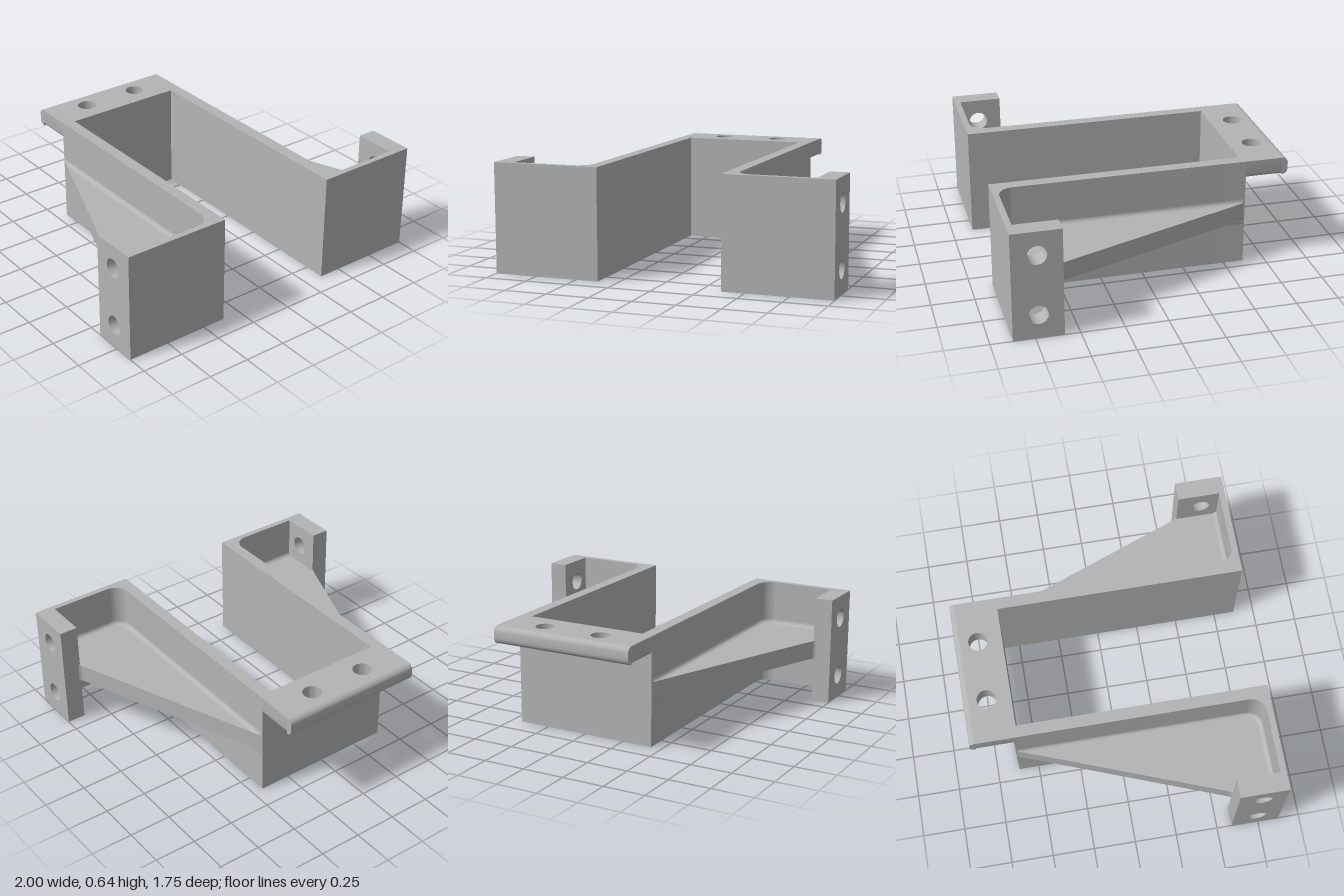
import * as THREE from 'three';
import { toCreasedNormals } from 'three/addons/utils/BufferGeometryUtils.js';

const H = 0.645;                       // overall height
const WALL = 0.435, INNER = 0.365;     // side wall faces
const BACK = -0.62, FRONT = 0.875, FLANGE = 0.84;
const R = 0.09;                        // corner radius between wall and flange

function circleHole(shape, x, y, r) {
  const path = new THREE.Path();
  path.absarc(x, y, r, 0, Math.PI * 2, true);
  shape.holes.push(path);
}

function polygon(points) {
  return new THREE.Shape(points.map(([x, y]) => new THREE.Vector2(x, y)));
}

function extrude(shape, depth) {
  return new THREE.ExtrudeGeometry(shape, { depth, bevelEnabled: false, curveSegments: 16 });
}

// Plan outline (x, z) raised between two heights
function extrudeY(shape, y0, y1) {
  return toCreasedNormals(extrude(shape, y1 - y0).rotateX(Math.PI / 2).translate(0, y1, 0), 0.5);
}

// Side outline (z, y) extended between two x positions
function extrudeX(shape, x0, x1) {
  return toCreasedNormals(extrude(shape, x1 - x0).rotateY(-Math.PI / 2).translate(x1, 0, 0), 0.5);
}

// Concave fillet strip where the web meets the wall and flange; dir is +1 above, -1 below
function filletGeometry(y, dir, r) {
  const path = [[WALL, BACK + 0.005, 1, 0]];
  for (let i = 0; i <= 10; i++) {
    const a = (i / 10) * Math.PI / 2;
    path.push([WALL + R - R * Math.cos(a), FLANGE - R + R * Math.sin(a), Math.cos(a), -Math.sin(a)]);
  }
  path.push([0.89, FLANGE, 0, -1]);
  const steps = 6, pos = [], index = [];
  path.forEach(([x, z, nx, nz], k) => {
    for (let j = 0; j <= steps; j++) {
      const a = (j / steps) * Math.PI / 2;
      const d = r * (1 - Math.cos(a)), h = r * (1 - Math.sin(a));
      const trim = k === 0 ? d * 2.6 : 0;   // follow the slanted edge of the web
      pos.push(x + nx * d, y + dir * h, z + nz * d + trim);
    }
  });
  const n = steps + 1;
  for (let k = 0; k < path.length - 1; k++) {
    for (let j = 0; j < steps; j++) {
      const a = k * n + j, b = a + 1, c = a + n, d = c + 1;
      if (dir > 0) index.push(a, c, b, b, c, d);
      else index.push(a, b, c, b, d, c);
    }
  }
  const g = new THREE.BufferGeometry();
  g.setAttribute('position', new THREE.Float32BufferAttribute(pos, 3));
  g.setIndex(index);
  g.computeVertexNormals();
  return g;
}

export function createModel() {
  const model = new THREE.Group();
  model.name = 'mountingBracket';
  const gray = new THREE.MeshStandardMaterial({ color: 0xb4b4b4 });
  gray.name = 'gray';
  const grayOpen = new THREE.MeshStandardMaterial({ color: 0xb4b4b4, side: THREE.DoubleSide });
  grayOpen.name = 'gray';

  const add = (parent, name, geometry, material = gray) => {
    const mesh = new THREE.Mesh(geometry, material);
    mesh.name = name;
    parent.add(mesh);
  };

  // One arm: side wall, front flange, drilled tab and stiffening web
  function createArm() {
    const arm = new THREE.Group();
    const wall = new THREE.Shape();
    wall.moveTo(INNER, BACK);
    wall.lineTo(WALL, BACK);
    wall.lineTo(WALL, FLANGE - R);
    wall.absarc(WALL + R, FLANGE - R, R, Math.PI, Math.PI / 2, true);
    wall.lineTo(0.89, FLANGE);
    wall.lineTo(0.89, FRONT);
    wall.lineTo(INNER, FRONT);
    wall.closePath();
    add(arm, 'wallAndFlange', extrudeY(wall, 0, H));

    const tab = polygon([[0.588, 0], [FRONT, 0], [FRONT, H], [0.588, H]]);
    for (const y of [0.143, 0.505]) circleHole(tab, 0.73, y, 0.056);
    add(arm, 'drilledTab', extrudeX(tab, 0.89, 1));

    const web = new THREE.Shape();
    web.moveTo(WALL - 0.01, BACK + 0.005);
    web.lineTo(WALL, BACK + 0.005);
    web.lineTo(0.885, 0.568);
    web.quadraticCurveTo(0.892, 0.588, 0.915, 0.589);
    web.lineTo(0.891, 0.589);
    web.lineTo(0.891, FLANGE + 0.01);
    web.lineTo(WALL - 0.01, FLANGE + 0.01);
    web.closePath();
    add(arm, 'stiffeningWeb', extrudeY(web, 0.27, 0.38));
    add(arm, 'upperFillet', filletGeometry(0.38, 1, 0.025), grayOpen);
    add(arm, 'lowerFillet', filletGeometry(0.27, -1, 0.025), grayOpen);
    return arm;
  }
  const leftArm = createArm();
  leftArm.name = 'leftArm';
  const rightArm = createArm();
  rightArm.name = 'rightArm';
  rightArm.scale.x = -1;
  model.add(leftArm, rightArm);

  // Thin wall joining the arms
  const backWall = new THREE.BoxGeometry(INNER * 2, H, 0.025);
  backWall.translate(0, H / 2, BACK + 0.0125);
  add(model, 'backWall', backWall);

  // Rear lip with two holes
  const y0 = 0.54, r = 0.035, rearZ = -0.875 + r, sideX = WALL - 0.025;
  const plate = polygon([[-sideX, rearZ], [sideX, rearZ], [sideX, BACK], [-sideX, BACK]]);
  for (const x of [-0.18, 0.18]) circleHole(plate, x, -0.737, 0.056);
  add(model, 'rearLip', extrudeY(plate, y0, H));

  // Rounded rear edge of the lip
  const edge = new THREE.Shape();
  edge.moveTo(rearZ, y0);
  edge.lineTo(rearZ, H);
  edge.absarc(rearZ, H - r, r, Math.PI / 2, Math.PI, false);
  edge.absarc(rearZ, y0 + r, r, Math.PI, Math.PI * 1.5, false);
  add(model, 'roundedRearEdge', extrudeX(edge, -WALL, WALL));

  // Side edges of the lip, rounded underneath
  for (const s of [1, -1]) {
    const side = new THREE.Shape();
    side.moveTo(s * sideX, H);
    side.lineTo(s * sideX, y0);
    side.absarc(s * sideX, y0 + 0.025, 0.025, -Math.PI / 2, s > 0 ? 0 : -Math.PI, s < 0);
    side.lineTo(s * WALL, H);
    side.closePath();
    const g = extrude(side, BACK - rearZ).translate(0, 0, rearZ);
    add(model, s > 0 ? 'leftLipEdge' : 'rightLipEdge', toCreasedNormals(g, 0.5));
  }
  return model;
}
